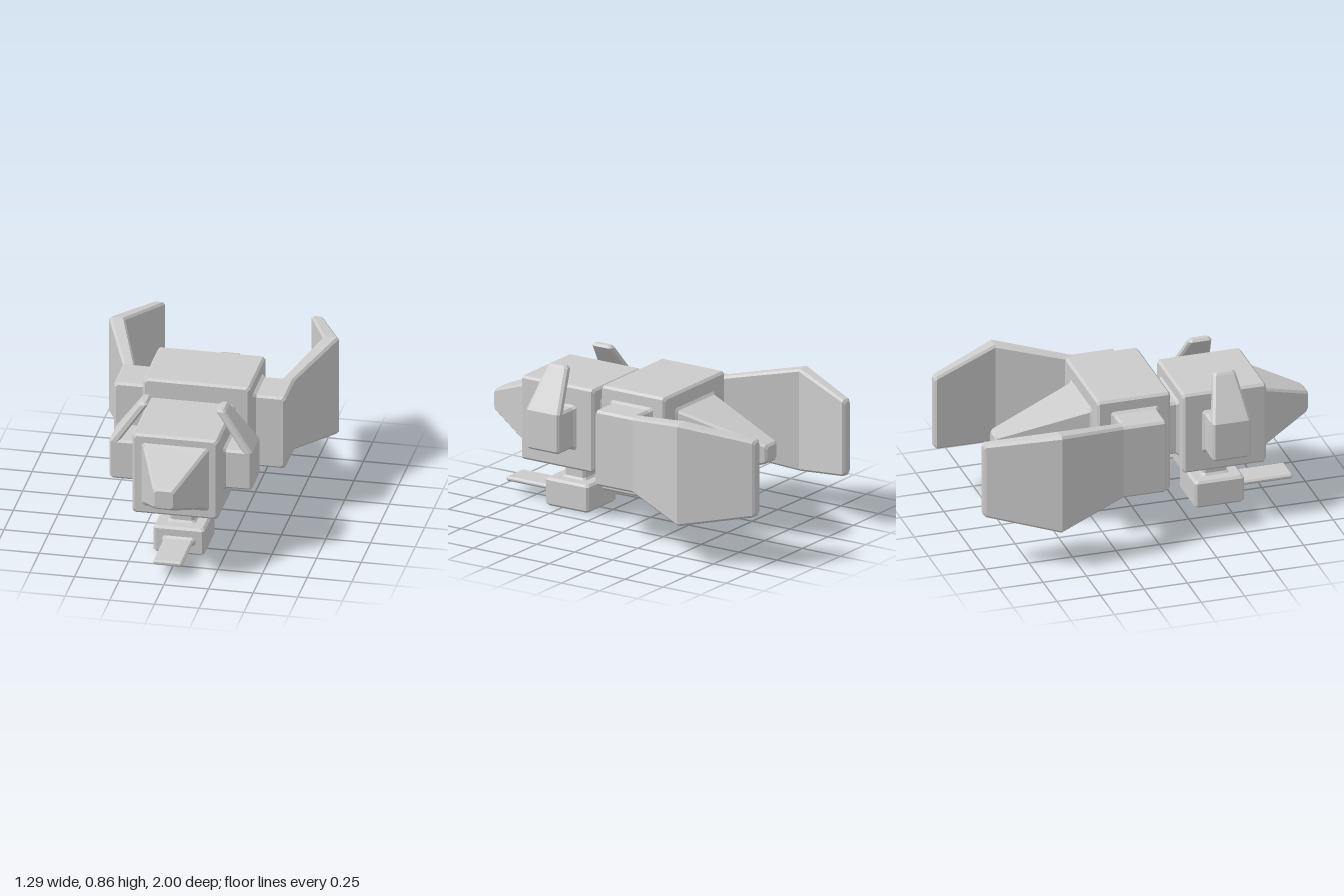
import * as THREE from 'three';

const C = 0.013; // bevel size
const material = new THREE.MeshStandardMaterial({ color: 0xcccccc, flatShading: true });

// Lofts bevelled rectangles along an axis. Section: [t, a0, a1, b0, b1],
// (a, b) = (x, y) along z, (y, z) along x, (z, x) along y. t must increase.
function loft(axis, sections, bevelStart = true, bevelEnd = true) {
  const rows = sections.map((s) => [...s]);
  const inset = ([t, a0, a1, b0, b1]) => [t, a0 + C, a1 - C, b0 + C, b1 - C];
  if (bevelStart) {
    rows.unshift(inset(rows[0]));
    rows[1][0] += C;
  }
  if (bevelEnd) {
    rows.push(inset(rows[rows.length - 1]));
    rows[rows.length - 2][0] -= C;
  }
  const place = {
    x: (t, a, b) => [t, a, b],
    y: (t, a, b) => [b, t, a],
    z: (t, a, b) => [a, b, t],
  }[axis];
  const rings = rows.map(([t, a0, a1, b0, b1]) => {
    const c = Math.min(C, (b1 - b0) * 0.35, (a1 - a0) * 0.35);
    return [
      [a0 + c, b0], [a1 - c, b0], [a1, b0 + c], [a1, b1 - c],
      [a1 - c, b1], [a0 + c, b1], [a0, b1 - c], [a0, b0 + c],
    ].map(([a, b]) => place(t, a, b));
  });
  const out = [];
  const tri = (p, q, r) => out.push(...p, ...q, ...r);
  for (let i = 0; i + 1 < rings.length; i++) {
    for (let k = 0; k < 8; k++) {
      const n = (k + 1) % 8, lo = rings[i], hi = rings[i + 1];
      tri(lo[k], lo[n], hi[n]);
      tri(lo[k], hi[n], hi[k]);
    }
  }
  const first = rings[0], last = rings[rings.length - 1];
  for (let k = 1; k < 7; k++) {
    tri(first[0], first[k + 1], first[k]);
    tri(last[0], last[k], last[k + 1]);
  }
  const g = new THREE.BufferGeometry();
  g.setAttribute('position', new THREE.Float32BufferAttribute(out, 3));
  g.computeVertexNormals();
  return g;
}

// Reflects a geometry across x = 0 and keeps its faces outward
function mirrored(geometry) {
  const p = geometry.attributes.position, out = [];
  for (let i = 0; i < p.count; i += 3) {
    for (const j of [i, i + 2, i + 1]) out.push(-p.getX(j), p.getY(j), p.getZ(j));
  }
  const g = new THREE.BufferGeometry();
  g.setAttribute('position', new THREE.Float32BufferAttribute(out, 3));
  g.computeVertexNormals();
  return g;
}

export function createModel() {
  const model = new THREE.Group();
  model.name = 'spacecraft';
  const add = (name, geometry) => {
    const mesh = new THREE.Mesh(geometry, material);
    mesh.name = name;
    model.add(mesh);
  };
  const addPair = (name, geometry) => {
    add(name + 'Left', geometry);
    add(name + 'Right', mirrored(geometry));
  };

  // Hull blocks and the flared neck between them
  add('frontHull', loft('z', [[0.22, -0.24, 0.24, 0.275, 0.755], [0.7, -0.24, 0.24, 0.275, 0.755]]));
  add('rearHull', loft('z', [[-0.29, -0.3, 0.3, 0.215, 0.815], [0.13, -0.3, 0.3, 0.215, 0.815]]));
  add('neck', loft('z', [
    [0.125, -0.175, 0.175, 0.345, 0.69], [0.145, -0.16, 0.16, 0.36, 0.675],
    [0.205, -0.16, 0.16, 0.36, 0.675], [0.225, -0.175, 0.175, 0.345, 0.69],
  ], false, false));

  // Tapered nose and tail
  add('nose', loft('z', [
    [0.695, -0.195, 0.195, 0.32, 0.71], [0.712, -0.175, 0.175, 0.34, 0.69],
    [1.0, -0.064, 0.064, 0.451, 0.579],
  ], false, true));
  add('tail', loft('z', [
    [-0.8, -0.058, 0.058, 0.46, 0.57],
    [-0.302, -0.185, 0.185, 0.315, 0.715], [-0.285, -0.202, 0.202, 0.295, 0.735],
  ], true, false));

  // Bent rear wings on side struts
  addPair('wingStrut', loft('x', [
    [0.295, 0.285, 0.75, -0.22, 0.07], [0.318, 0.302, 0.735, -0.2, 0.05],
    [0.44, 0.302, 0.735, -0.2, 0.05],
  ], false, false));
  addPair('wing', loft('z', [
    [-1.0, 0.41, 0.478, 0.3, 0.74], [-0.605, 0.553, 0.643, 0.225, 0.812],
    [-0.2, 0.411, 0.481, 0.302, 0.735], [0.05, 0.411, 0.481, 0.302, 0.735],
  ]));

  // Front side pods with inward leaning horns
  addPair('podStrut', loft('x', [
    [0.235, 0.385, 0.65, 0.325, 0.575], [0.255, 0.402, 0.637, 0.342, 0.56],
    [0.37, 0.402, 0.637, 0.342, 0.56],
  ], false, false));
  addPair('horn', loft('y', [
    [0.402, 0.342, 0.56, 0.345, 0.4], [0.628, 0.342, 0.56, 0.345, 0.4],
    [0.858, 0.395, 0.525, 0.192, 0.245],
  ]));

  // Underslung turret with a flat barrel
  add('turretStem', loft('y', [
    [0.152, 0.375, 0.545, -0.085, 0.085], [0.172, 0.392, 0.528, -0.068, 0.068],
    [0.262, 0.392, 0.528, -0.068, 0.068], [0.282, 0.375, 0.545, -0.085, 0.085],
  ], false, false));
  add('turret', loft('y', [[0, 0.32, 0.605, -0.143, 0.143], [0.16, 0.32, 0.605, -0.143, 0.143]]));
  add('turretBarrel', loft('z', [
    [0.6, -0.098, 0.098, 0.053, 0.112], [0.617, -0.082, 0.082, 0.069, 0.096],
    [0.895, -0.082, 0.082, 0.069, 0.096], [0.905, -0.073, 0.073, 0.077, 0.088],
  ], false, false));

  return model;
}
